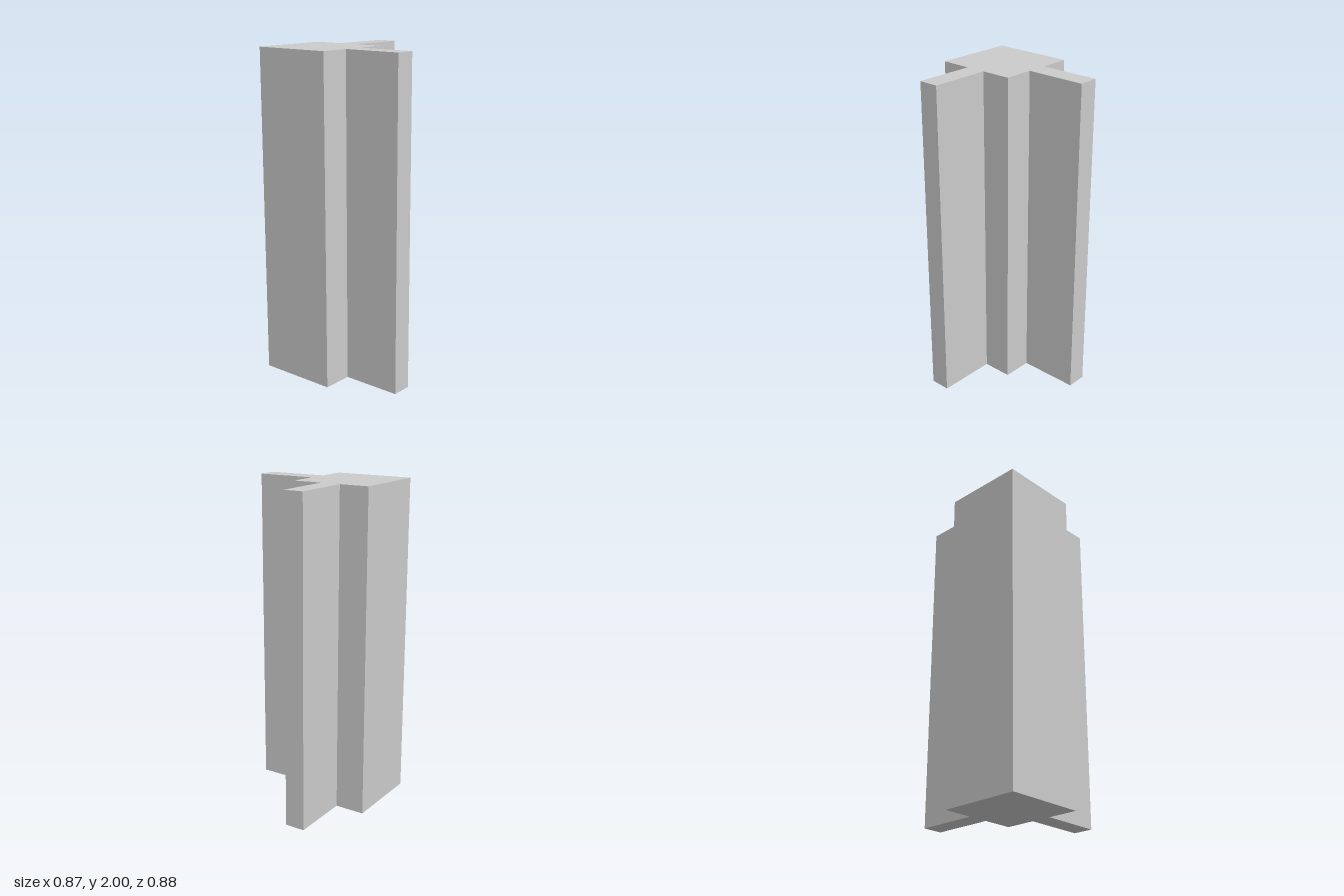
import * as THREE from 'three';

const HEIGHT = 2;

// Floor plan as [x, z] corners: a square post with one panel to the back and one to the side
const PLAN = [
  // front and side of the post
  [-0.434, 0.438], [0.063, 0.438], [0.063, 0.25],
  // side panel
  [0.434, 0.25], [0.434, 0.125], [0.063, 0.125],
  // inner corner of the post
  [0.063, -0.063], [-0.123, -0.063],
  // back panel
  [-0.123, -0.438], [-0.248, -0.438], [-0.248, -0.063],
  // rear outer corner of the post
  [-0.434, -0.063],
];

export function createModel() {
  const group = new THREE.Group();
  group.name = 'cornerPostModel';

  // The plan is drawn with z flipped, extruded, then stood upright
  const shape = new THREE.Shape(PLAN.map(([x, z]) => new THREE.Vector2(x, -z)));
  const geometry = new THREE.ExtrudeGeometry(shape, { depth: HEIGHT, bevelEnabled: false });
  geometry.rotateX(-Math.PI / 2);

  const material = new THREE.MeshStandardMaterial({ color: 0xcccccc, flatShading: true });
  const post = new THREE.Mesh(geometry, material);
  post.name = 'cornerPostWithPanels';
  group.add(post);
  return group;
}
